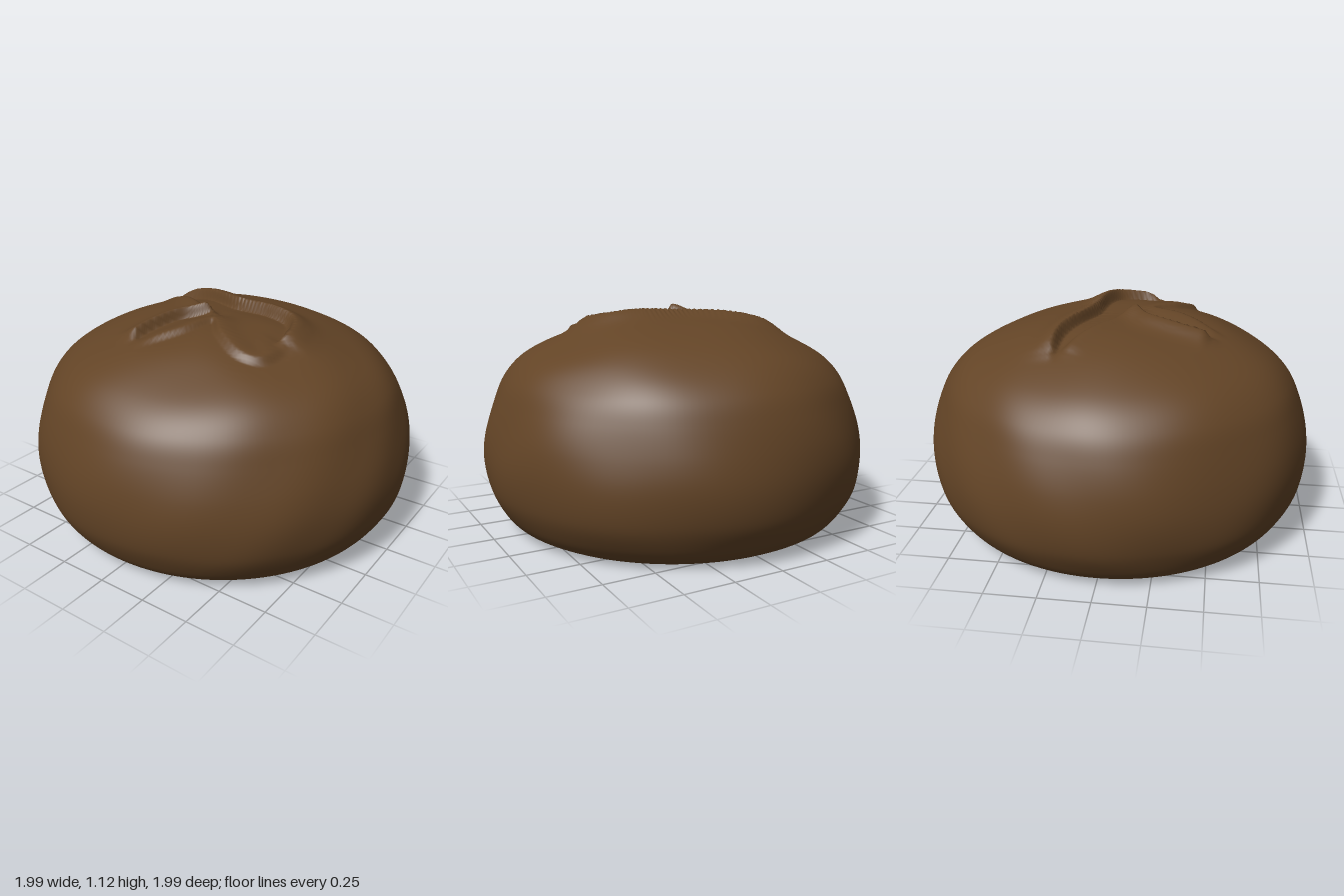
import * as THREE from 'three';
import { mergeVertices } from 'three/addons/utils/BufferGeometryUtils.js';

const v2 = (a) => a.map(([x, y]) => new THREE.Vector2(x, y));

// Profile of the loaf from the rim of the base to the crown
const PROFILE = v2([[0.8, 0], [0.87, 0.04], [0.925, 0.11], [0.975, 0.22], [0.995, 0.36], [0.982, 0.5],
  [0.938, 0.65], [0.88, 0.77], [0.78, 0.872], [0.62, 0.962], [0.45, 1.025], [0.25, 1.06], [0, 1.065]]);

// Torn lips of the crust seen from above (x, z); each drops away on the right of its path
const LIPS = [
  { amp: 0.046, back: 0.09, wall: 0.022, path: [[-0.49, -0.27], [-0.3, -0.25], [-0.02, -0.14], [0.22, -0.1], [0.37, -0.05], [0.43, 0.06], [0.44, 0.16]] },
  { amp: 0.02, back: 0.06, wall: 0.045, path: [[0.03, 0.11], [-0.1, 0.04], [-0.3, -0.1], [-0.38, -0.15], [-0.49, -0.2]] },
  { amp: 0.042, back: 0.08, wall: 0.022, path: [[-0.22, 0.47], [-0.2, 0.33], [-0.14, 0.17], [-0.02, 0.07]] },
  { amp: 0.02, back: 0.08, wall: 0.03, path: [[-0.13, 0.5], [-0.01, 0.34], [0.06, 0.17], [0.18, 0.28], [0.33, 0.36], [0.44, 0.33], [0.47, 0.2]] },
].map((lip) => {
  const curve = new THREE.SplineCurve(v2(lip.path));
  const samples = Array.from({ length: 61 }, (_, i) => ({
    p: curve.getPoint(i / 60), t: curve.getTangent(i / 60), u: i / 60,
  }));
  return { ...lip, samples };
});

// Height added by one lip: gentle rise behind it, steep wall, shallow groove in front
function lipHeight(lip, x, z) {
  let best = null, min = Infinity;
  for (const s of lip.samples) {
    const d = (s.p.x - x) ** 2 + (s.p.y - z) ** 2;
    if (d < min) { min = d; best = s; }
  }
  if (min > 0.1) return 0;
  const dx = x - best.p.x, dz = z - best.p.y;
  const along = dx * best.t.x + dz * best.t.y;
  const side = best.t.x * dz - best.t.y * dx;
  const taper = THREE.MathUtils.smoothstep(Math.min(best.u, 1 - best.u), -0.06, 0.12);
  const fade = Math.exp(-((along / 0.03) ** 2)) * taper;
  let h;
  if (side < 0) h = Math.exp(-((side / lip.back) ** 2));
  else {
    const drop = THREE.MathUtils.smoothstep(side, 0, lip.wall);
    h = 1 - drop - 0.35 * drop * Math.exp(-((side / 0.09) ** 2));
  }
  return lip.amp * fade * h;
}

// Soft hand-shaped unevenness
function wobble(x, y, z) {
  return 0.006 * Math.sin(4.1 * x + 2.3 * y + 1) * Math.sin(3.7 * z - 1.9 * y + 0.4)
    + 0.003 * Math.sin(9 * x - 7 * y + 5 * z) + 0.002 * Math.sin(13 * z + 11 * y - 6 * x);
}

function doughGeometry() {
  const profile = new THREE.SplineCurve(PROFILE).getSpacedPoints(150);
  profile[150].set(0, 1.065);
  let geo = new THREE.LatheGeometry(profile, 180);
  geo.deleteAttribute('uv');
  geo.deleteAttribute('normal');
  geo = mergeVertices(geo, 1e-5);
  const pos = geo.attributes.position;
  for (let i = 0; i < pos.count; i++) {
    const x = pos.getX(i), y = pos.getY(i), z = pos.getZ(i);
    const s = 1 + wobble(x, y, z) * THREE.MathUtils.smoothstep(y, 0, 0.2);
    let top = 0;
    if (y > 0.9) for (const lip of LIPS) top += lipHeight(lip, x, z);
    pos.setXYZ(i, x * s, y * s + top, z * s);
  }
  geo.computeVertexNormals();
  return geo;
}

export function createModel() {
  const crust = new THREE.MeshStandardMaterial({ color: 0x634426 });
  crust.name = 'brown crust';
  const group = new THREE.Group();
  group.name = 'breadBun';

  const dough = new THREE.Mesh(doughGeometry(), crust);
  dough.name = 'crust';

  // Flat underside
  const base = new THREE.Mesh(new THREE.CircleGeometry(0.8, 180), crust);
  base.rotation.x = Math.PI / 2;
  base.name = 'flatBase';

  group.add(dough, base);
  return group;
}
